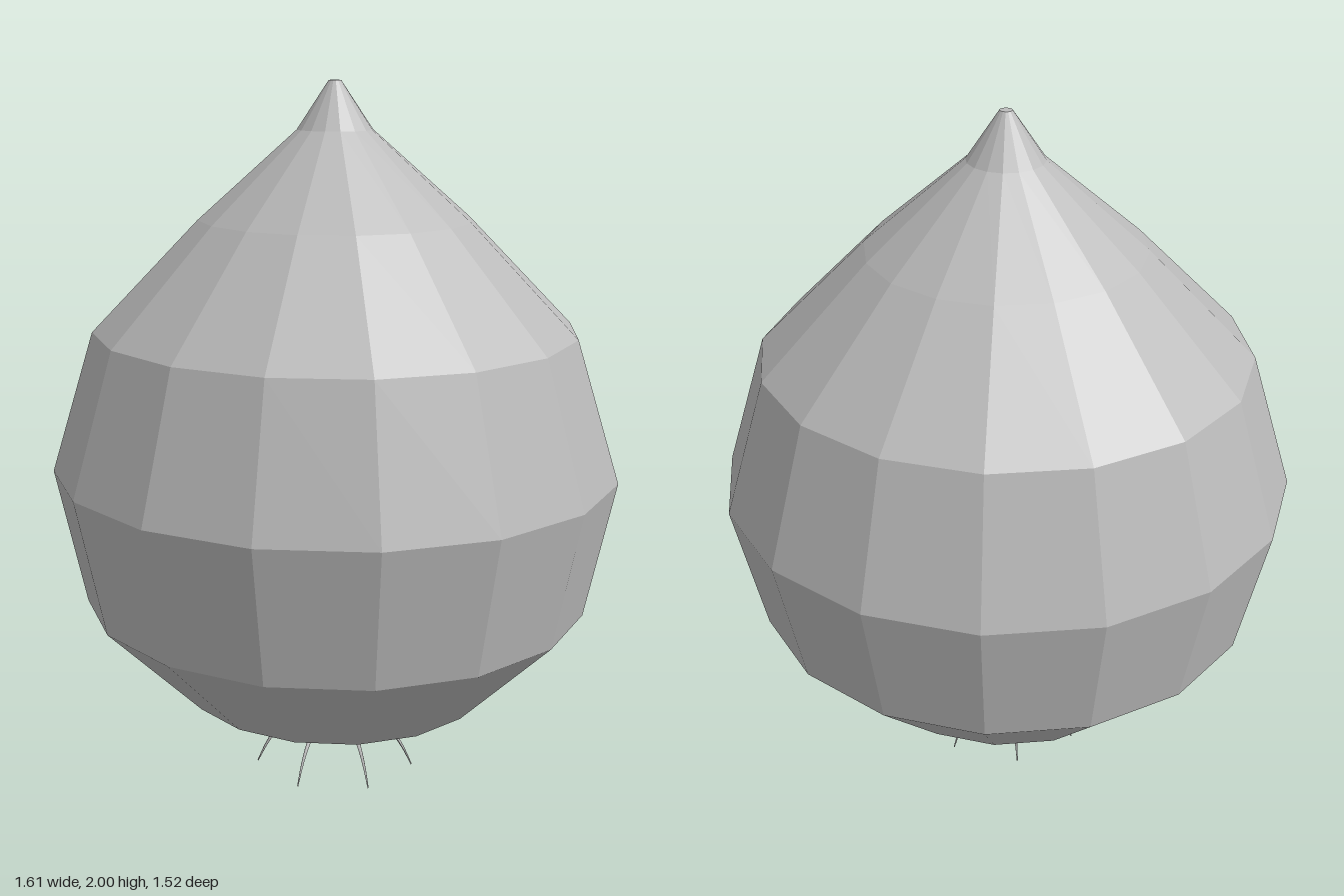
import * as THREE from 'three';

const SIDES = 16, ROOTS = 7, DEPTH = 0.945;

// Faceted normals for a low-poly look
function faceted(geometry) {
  const flat = geometry.toNonIndexed();
  flat.computeVertexNormals();
  return flat;
}

// Tube that narrows to a point along its path
function taperedTube(curve, radius, segments, sides) {
  const geo = new THREE.TubeGeometry(curve, segments, radius, sides);
  const pos = geo.attributes.position, v = new THREE.Vector3();
  for (let i = 0; i <= segments; i++) {
    const t = i / segments, centre = curve.getPointAt(t);
    for (let j = 0; j <= sides; j++) {
      const k = i * (sides + 1) + j;
      v.fromBufferAttribute(pos, k).sub(centre).multiplyScalar(1 - 0.8 * t).add(centre);
      pos.setXYZ(k, v.x, v.y, v.z);
    }
  }
  geo.computeVertexNormals();
  return geo;
}

export function createModel() {
  const model = new THREE.Group();
  model.name = 'onion';
  const grey = new THREE.MeshStandardMaterial({ color: 0xbbbbbb });
  grey.name = 'grey';

  // Bulb: lathed profile from the flat base to the blunt tip
  const profile = [
    [0, 0.145], [0.11, 0.145], [0.445, 0.25], [0.725, 0.535], [0.805, 0.93],
    [0.68, 1.325], [0.38, 1.63], [0.105, 1.87], [0.017, 2], [0, 2],
  ].map(([r, y]) => new THREE.Vector2(r, y));
  const bulb = new THREE.Mesh(faceted(new THREE.LatheGeometry(profile, SIDES)), grey);
  bulb.name = 'bulb';
  bulb.scale.z = DEPTH;
  model.add(bulb);

  // Roots: a ring of thin curved hairs under the base
  const path = new THREE.CatmullRomCurve3([
    [0.105, 0.155], [0.135, 0.14], [0.175, 0.105], [0.208, 0.06], [0.238, 0.001],
  ].map(([x, y]) => new THREE.Vector3(x, y, 0)));
  const rootGeometry = taperedTube(path, 0.009, 8, 6);
  const roots = new THREE.Group();
  roots.name = 'roots';
  roots.scale.z = DEPTH;
  for (let i = 0; i < ROOTS; i++) {
    const root = new THREE.Mesh(rootGeometry, grey);
    root.name = 'root' + (i + 1);
    root.rotation.y = (i / ROOTS) * Math.PI * 2;
    roots.add(root);
  }
  model.add(roots);
  return model;
}
